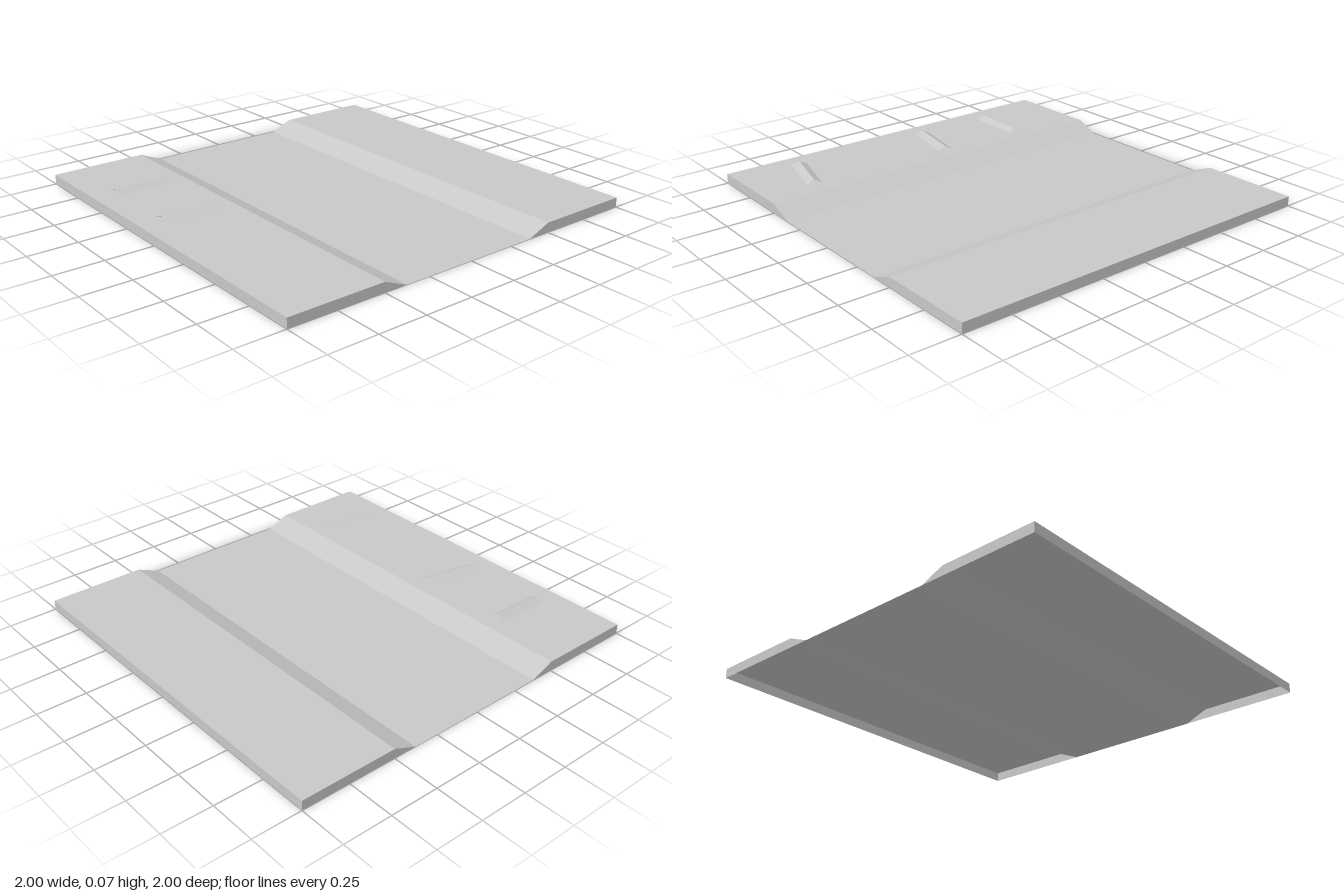
import * as THREE from 'three';

const H = 0.05; // height of the raised banks

// Flat sheet swept between two polylines of matching points, with hard edges
function strip(a, b) {
  const pos = [];
  for (let i = 0; i < a.length - 1; i++) {
    pos.push(...a[i], ...b[i], ...b[i + 1], ...a[i], ...b[i + 1], ...a[i + 1]);
  }
  const g = new THREE.BufferGeometry();
  g.setAttribute('position', new THREE.Float32BufferAttribute(pos, 3));
  g.computeVertexNormals();
  return g;
}

export function createModel() {
  const model = new THREE.Group();
  const stone = new THREE.MeshStandardMaterial({ color: 0xc8c8c8, side: THREE.DoubleSide });
  stone.name = 'stoneGrey';

  const add = (name, geometry) => {
    const mesh = new THREE.Mesh(geometry, stone);
    mesh.name = name;
    model.add(mesh);
    return mesh;
  };

  // Ground sheet: two banks with a sunken channel running along z
  const profile = [[-1, H], [-0.5, H], [-0.38, 0], [0.38, 0], [0.5, H], [1, H]];
  const at = (z) => profile.map(([x, y]) => [x, y, z]);
  add('ground', strip(at(-1), at(1)));

  // Skirts around both banks; the underside stays open
  for (const s of [-1, 1]) {
    const side = s < 0 ? 'right' : 'left';
    const outer = [[s, 0, s], [s, 0, -s]];
    add(side + 'OuterSkirt', strip(outer, outer.map(([x, , z]) => [x, H, z])));

    const bank = new THREE.Shape([[1, 0], [1, H], [0.5, H], [0.38, 0]]
      .map(([x, y]) => new THREE.Vector2(s * x, y)));
    for (const z of [-1, 1]) {
      const g = new THREE.ShapeGeometry(bank);
      if (z < 0) g.rotateY(Math.PI).scale(-1, 1, 1); // keeps x, turns the face backward
      if (z < 0) {
        // restore outward winding after the mirror
        const ix = g.index.array;
        for (let i = 0; i < ix.length; i += 3) [ix[i], ix[i + 1]] = [ix[i + 1], ix[i]];
        g.computeVertexNormals();
      }
      g.translate(0, 0, z);
      add(side + (z < 0 ? 'BackSkirt' : 'FrontSkirt'), g);
    }
  }

  // Small open-ended ridges on the right bank: x, z, length, turn in degrees
  const ridges = [[-0.738, -0.58, 0.305, 0.5], [-0.738, -0.115, 0.32, 10.5], [-0.745, 0.68, 0.31, 14.8]];
  for (const [x, z, length, turn] of ridges) {
    const end = (s) => [
      [s * length / 2, 0, -0.04],
      [s * (length / 2 - 0.015), 0.02, 0],
      [s * length / 2, 0, 0.04],
    ];
    const ridge = add('ridge', strip(end(1), end(-1)));
    ridge.position.set(x, H, z);
    ridge.rotation.y = -THREE.MathUtils.degToRad(turn);
  }
  return model;
}
